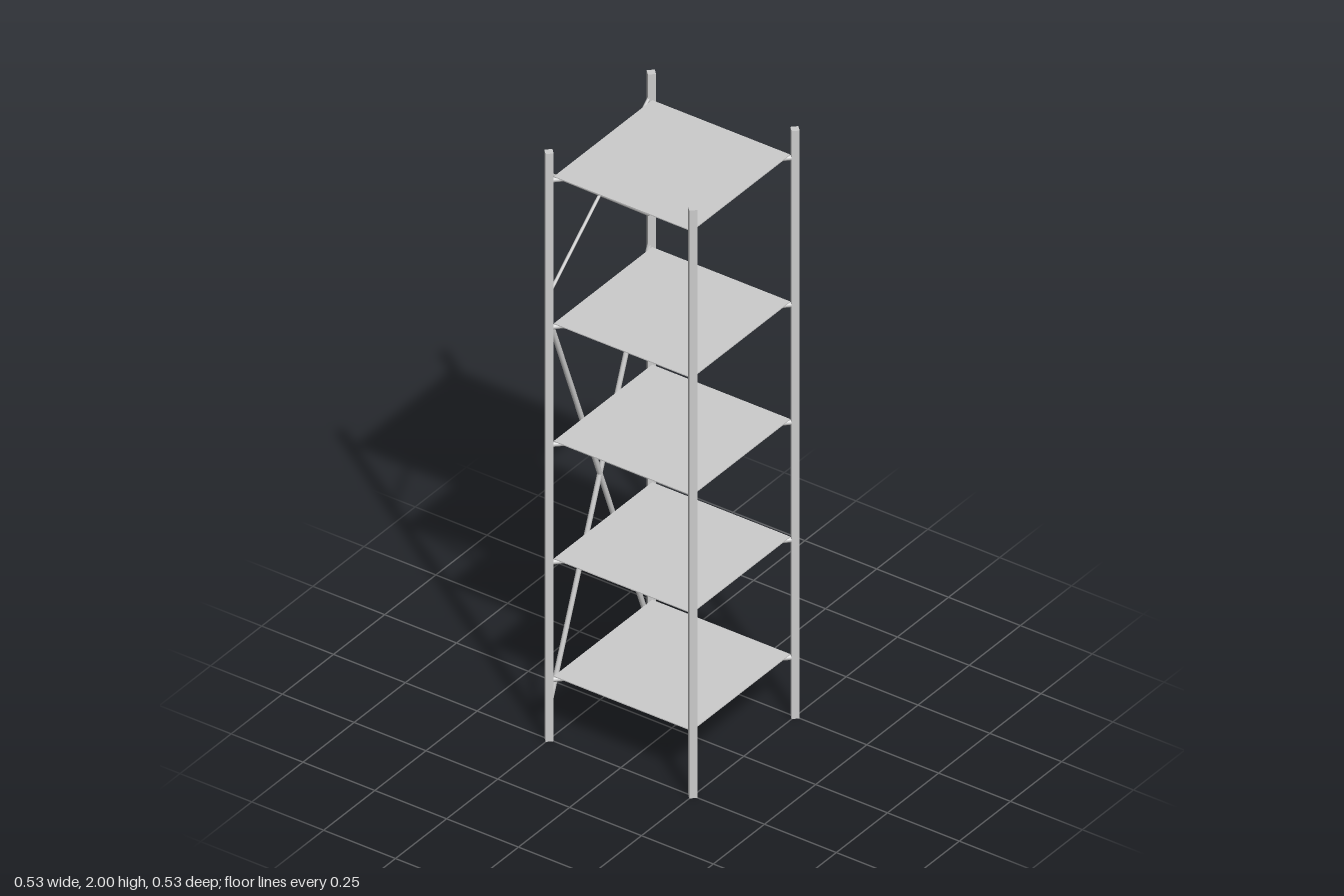
import * as THREE from 'three';

const material = new THREE.MeshStandardMaterial({ color: 0xcccccc });
const flatMaterial = new THREE.MeshStandardMaterial({ color: 0xcccccc, flatShading: true });

// Straight round rod between two points
function rod(name, from, to, radius) {
  const a = new THREE.Vector3(...from);
  const b = new THREE.Vector3(...to);
  const dir = b.clone().sub(a);
  const mesh = new THREE.Mesh(new THREE.CylinderGeometry(radius, radius, dir.length(), 8), material);
  mesh.name = name;
  mesh.position.copy(a).add(b).multiplyScalar(0.5);
  mesh.quaternion.setFromUnitVectors(new THREE.Vector3(0, 1, 0), dir.normalize());
  return mesh;
}

export function createModel() {
  const model = new THREE.Group();
  model.name = 'shelvingTower';
  const P = 0.25; // post offset from the centre

  // Corner posts: square bars turned 45 degrees
  for (const x of [-P, P]) {
    for (const z of [-P, P]) {
      const post = new THREE.Mesh(new THREE.CylinderGeometry(0.0165, 0.0165, 2, 4), flatMaterial);
      post.name = 'cornerPost';
      post.position.set(x, 1, z);
      model.add(post);
    }
  }

  // Shelves: thin square sheets resting on crossed diagonal rods
  for (const y of [0.2, 0.6, 1.0, 1.4, 1.9]) {
    const level = new THREE.Group();
    level.name = 'shelfLevel';
    const sheet = new THREE.Mesh(new THREE.BoxGeometry(0.48, 0.003, 0.48), flatMaterial);
    sheet.name = 'shelf';
    sheet.position.y = y + 0.0125;
    level.add(sheet);
    for (const s of [-1, 1]) {
      level.add(rod('shelfSupport', [-P, y + 0.003, -P * s], [P, y + 0.003, P * s], 0.008));
    }
    model.add(level);
  }

  // Back bracing: a tall heavy cross and a short thin one above it
  const braces = [
    { name: 'lowerBrace', bottom: 0.105, top: 1.435, radius: 0.008 },
    { name: 'upperBrace', bottom: 1.512, top: 1.925, radius: 0.005 },
  ];
  for (const { name, bottom, top, radius } of braces) {
    for (const s of [-1, 1]) {
      model.add(rod(name, [-P * s, bottom, -0.251], [P * s, top, -0.251], radius));
    }
  }
  return model;
}
